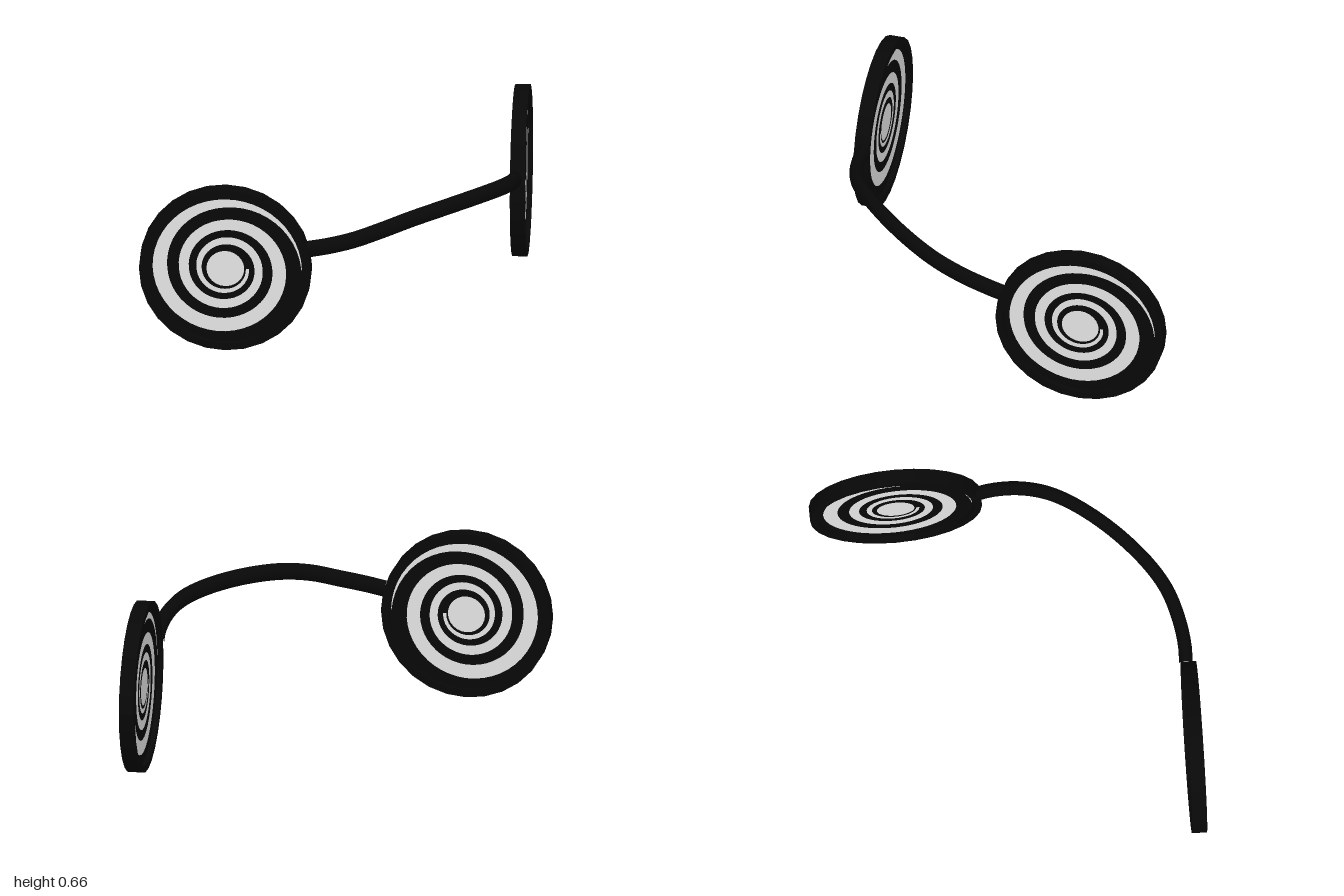
import * as THREE from 'three';

const black = new THREE.MeshStandardMaterial({ color: 0x080808 });
black.name = 'black frame';
const white = new THREE.MeshStandardMaterial({ color: 0xf0f0f0, side: THREE.DoubleSide });
white.name = 'white spiral';

const RADIUS = 0.328, RIM_INNER = 0.3, THICK = 0.057, LENS_HALF = 0.01, STEPS = 12;

// Outer and inner radius of the spiral band at every quarter turn
const OUTER = [0.292, 0.283, 0.277, 0.257, 0.231, 0.2, 0.177, 0.162, 0.142, 0.128, 0.11, 0.1, 0.09];
const INNER = [0.29, 0.25, 0.221, 0.202, 0.179, 0.157, 0.139, 0.125, 0.111, 0.099, 0.09, 0.083, 0.078];

// Flat ribbon winding counterclockwise toward the centre
function spiralGeometry() {
  const positions = [], normals = [], index = [];
  const count = (OUTER.length - 1) * STEPS;
  for (let i = 0; i <= count; i++) {
    const q = Math.min(Math.floor(i / STEPS), OUTER.length - 2);
    const f = i / STEPS - q;
    const a = (i / STEPS) * Math.PI / 2;
    for (const table of [INNER, OUTER]) {
      const r = THREE.MathUtils.lerp(table[q], table[q + 1], f);
      positions.push(r * Math.cos(a), r * Math.sin(a), 0);
      normals.push(0, 0, 1);
    }
    if (i < count) {
      const k = i * 2;
      index.push(k, k + 1, k + 3, k, k + 3, k + 2);
    }
  }
  const g = new THREE.BufferGeometry();
  g.setAttribute('position', new THREE.Float32BufferAttribute(positions, 3));
  g.setAttribute('normal', new THREE.Float32BufferAttribute(normals, 3));
  g.setIndex(index);
  return g;
}

// Raised ring around the lens
function rimGeometry() {
  const shape = new THREE.Shape();
  shape.absarc(0, 0, RADIUS, 0, Math.PI * 2, false);
  const hole = new THREE.Path();
  hole.absarc(0, 0, RIM_INNER, 0, Math.PI * 2, true);
  shape.holes.push(hole);
  const g = new THREE.ExtrudeGeometry(shape, { depth: THICK, bevelEnabled: false, curveSegments: 14 });
  g.translate(0, 0, -THICK / 2);
  return g;
}

function part(name, geometry, material) {
  const mesh = new THREE.Mesh(geometry, material);
  mesh.name = name;
  return mesh;
}

// Spiral band and plain middle for one face of a lens
function spiralFace(name, geometry) {
  const face = new THREE.Group();
  face.name = name;
  face.add(part('spiralBand', geometry, white));
  face.add(part('spiralCentre', new THREE.CircleGeometry(0.072, 24), white));
  return face;
}

function lens(name, x, z, angle, mirrorBack) {
  const group = new THREE.Group();
  group.name = name;
  group.add(part('rim', rimGeometry(), black));

  // Thin disc recessed inside the rim
  const disc = new THREE.CylinderGeometry(RIM_INNER + 0.005, RIM_INNER + 0.005, LENS_HALF * 2, 28);
  disc.rotateX(Math.PI / 2);
  group.add(part('lensDisc', disc, black));

  const spiral = spiralGeometry();
  const front = spiralFace('frontSpiral', spiral);
  front.position.z = LENS_HALF + 0.002;
  const back = spiralFace('backSpiral', spiral);
  back.position.z = -LENS_HALF - 0.002;
  back.rotation.y = Math.PI;
  if (mirrorBack) back.scale.x = -1;
  group.add(front, back);

  group.position.set(x, RADIUS, z);
  group.rotation.y = angle;
  return group;
}

// Arched bridge, bowed upward and forward, taller than it is deep
function bridge() {
  const stretch = 1.27;
  const points = [
    [-0.53, 0.408, 0.12], [-0.48, 0.422, 0.172], [-0.4, 0.443, 0.232], [-0.3, 0.472, 0.284],
    [-0.18, 0.493, 0.314], [0, 0.502, 0.329], [0.18, 0.497, 0.318], [0.3, 0.484, 0.29],
    [0.4, 0.462, 0.24], [0.48, 0.434, 0.176], [0.53, 0.408, 0.12],
  ].map(([x, y, z]) => new THREE.Vector3(x, y / stretch, z));
  const g = new THREE.TubeGeometry(new THREE.CatmullRomCurve3(points), 40, 0.026, 12);
  g.scale(1, stretch, 1);
  return part('bridge', g, black);
}

export function createModel() {
  const model = new THREE.Group();
  model.name = 'spiralGlasses';
  model.add(lens('leftLens', 0.742, -0.075, Math.PI / 4, false));
  model.add(lens('rightLens', -0.752, -0.1, -0.81, true));
  model.add(bridge());
  return model;
}
